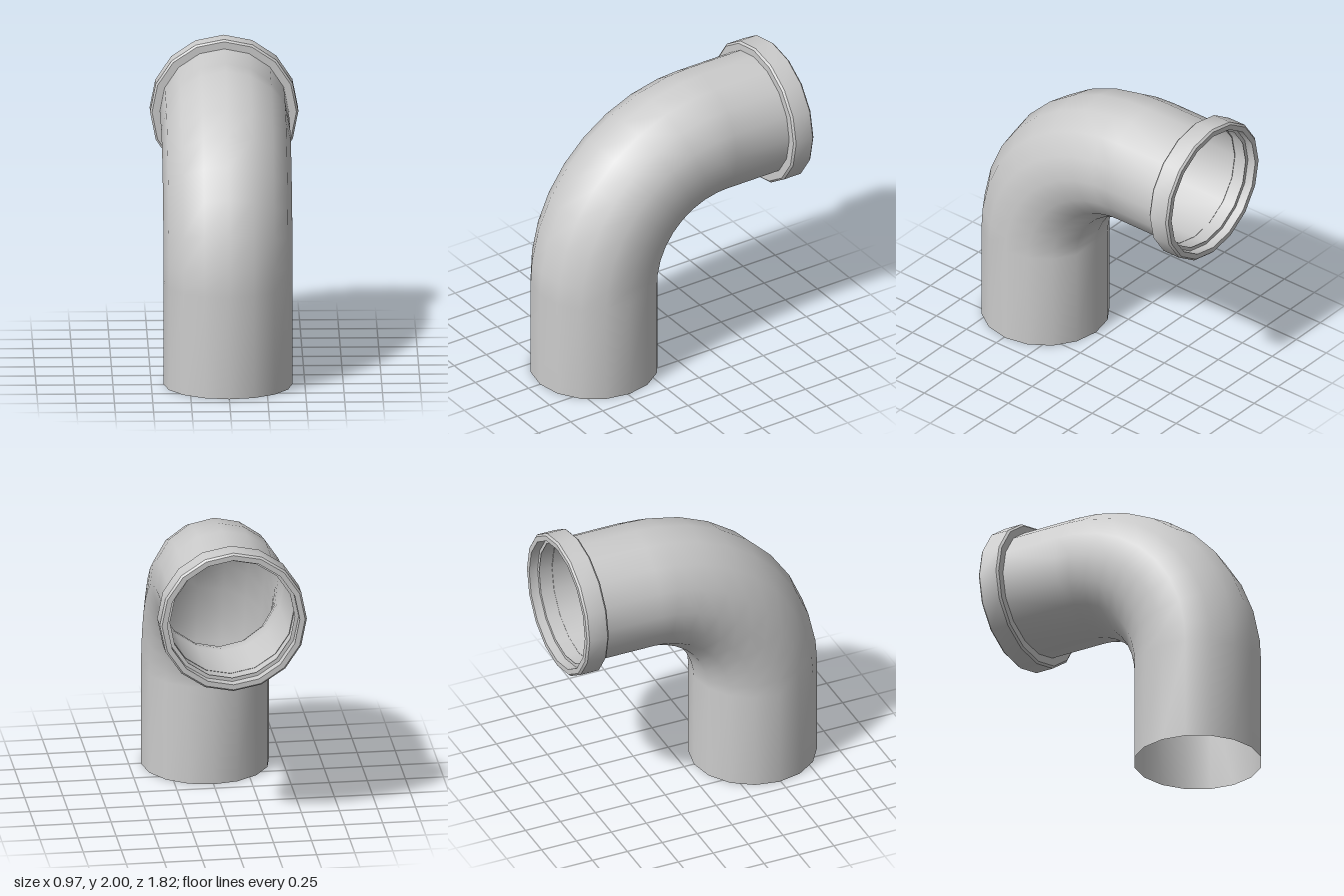
import * as THREE from 'three';
import { toCreasedNormals } from 'three/addons/utils/BufferGeometryUtils.js';

const SIDES = 16;
const PIPE_R = 0.42;
const BEND_R = 0.84;
const BEND_Y = 0.68; // height of the bend centre
const BEND_Z = -0.35; // depth of the bend centre
const AXIS_Y = BEND_Y + BEND_R;

// Skin of rings swept along the centre line: straight, 90 degree bend, straight
function sweptPipe() {
  const stations = [{ y: 0, z: BEND_Z + BEND_R, a: 0 }];
  const degrees = [0];
  for (let i = 0; i < 8; i++) degrees.push(7.5 + (i * 75) / 7);
  degrees.push(90);
  for (const d of degrees) {
    const a = THREE.MathUtils.degToRad(d);
    stations.push({ y: BEND_Y + BEND_R * Math.sin(a), z: BEND_Z + BEND_R * Math.cos(a), a });
  }
  stations.push({ y: AXIS_Y, z: -0.85, a: Math.PI / 2 });

  const positions = [];
  const indices = [];
  stations.forEach(({ y, z, a }, ring) => {
    for (let j = 0; j < SIDES; j++) {
      const t = (j / SIDES) * Math.PI * 2;
      const out = PIPE_R * Math.cos(t); // away from the bend centre
      positions.push(PIPE_R * Math.sin(t), y + out * Math.sin(a), z + out * Math.cos(a));
      if (ring === 0) continue;
      const k = (j + 1) % SIDES;
      const lo = (ring - 1) * SIDES;
      const hi = ring * SIDES;
      indices.push(lo + j, lo + k, hi + k, lo + j, hi + k, hi + j);
    }
  });
  const geometry = new THREE.BufferGeometry();
  geometry.setAttribute('position', new THREE.Float32BufferAttribute(positions, 3));
  geometry.setIndex(indices);
  geometry.computeVertexNormals();
  return geometry;
}

// Bevelled socket ring with a stepped inner lip, turned to open backwards
function socketCollar() {
  const profile = [
    [0.415, 0.755], [0.47, 0.755], [0.483, 0.768], [0.483, 0.897],
    [0.47, 0.91], [0.435, 0.91], [0.435, 0.85], [0.41, 0.85],
  ].map(([r, h]) => new THREE.Vector2(r, h));
  const geometry = new THREE.LatheGeometry(profile, SIDES);
  geometry.rotateX(-Math.PI / 2);
  geometry.translate(0, AXIS_Y - 0.003, 0);
  return toCreasedNormals(geometry, 0.5);
}

export function createModel() {
  const material = new THREE.MeshStandardMaterial({ color: 0xcccccc, side: THREE.DoubleSide });
  const group = new THREE.Group();
  group.name = 'pipeElbow';

  const pipe = new THREE.Mesh(sweptPipe(), material);
  pipe.name = 'bentPipe';
  const collar = new THREE.Mesh(socketCollar(), material);
  collar.name = 'socketCollar';
  group.add(pipe, collar);
  return group;
}
